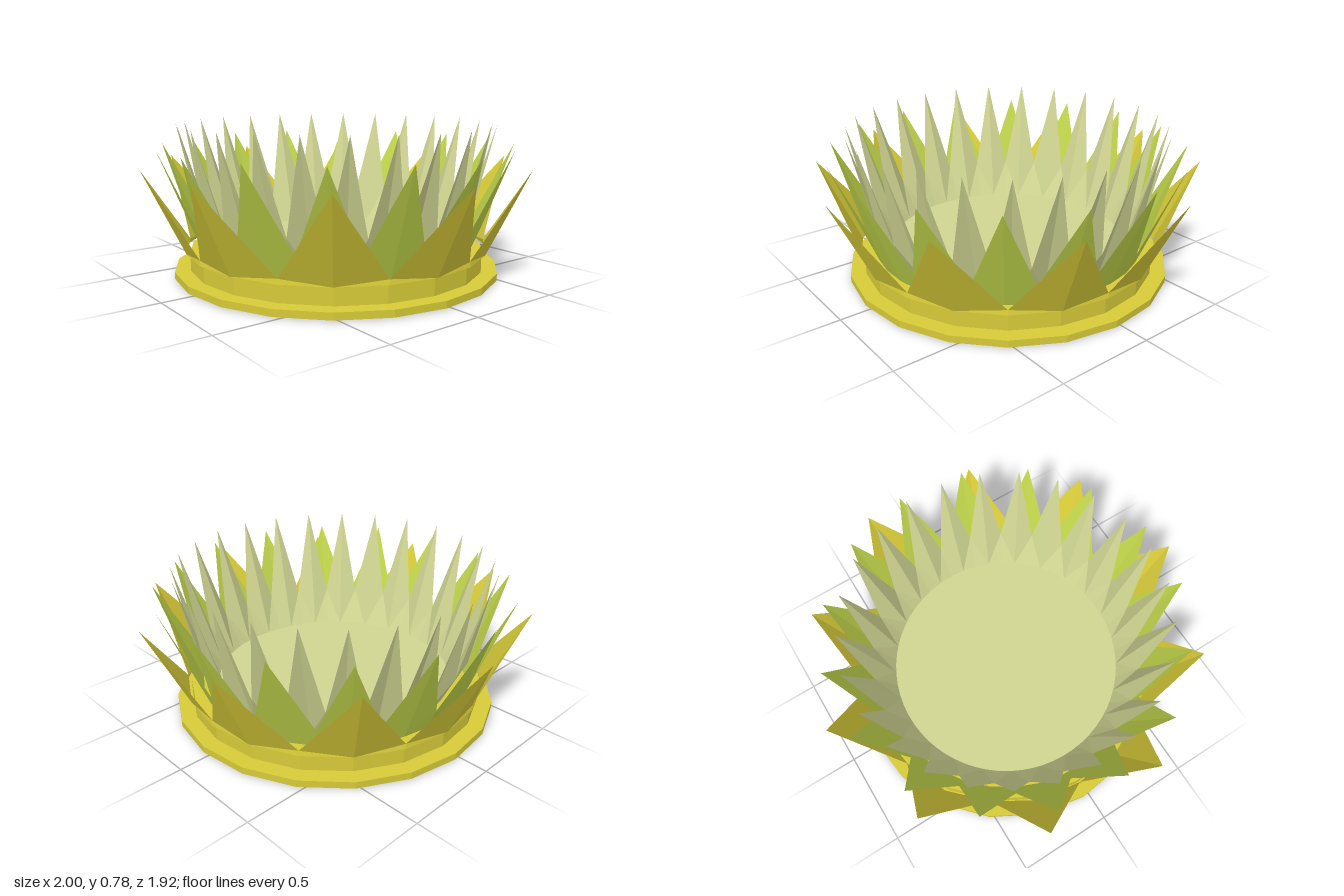
import * as THREE from 'three';

const mat = (name, color, extra = {}) => {
  const m = new THREE.MeshStandardMaterial({ color, flatShading: true, ...extra });
  m.name = name;
  return m;
};
const DEG = Math.PI / 180;

// Ring of pointed, folded leaves. base, valley and tip are [radius, height].
function crown(count, offset, base, valley, tip) {
  const pos = [];
  const half = Math.PI / count;
  const at = ([r, y], a) => [r * Math.cos(a), y, r * Math.sin(a)];
  const tri = (a, b, c) => pos.push(...a, ...b, ...c);
  for (let i = 0; i < count; i++) {
    const a = offset * DEG + 2 * half * i;
    const foot = at(base, a), point = at(tip, a);
    for (const s of [1, -1]) {
      const side = at(base, a + s * half), notch = at(valley, a + s * half);
      if (s > 0) {
        tri(foot, point, notch);
        tri(foot, notch, side);
      } else {
        tri(foot, notch, point);
        tri(foot, side, notch);
      }
    }
  }
  const g = new THREE.BufferGeometry();
  g.setAttribute('position', new THREE.Float32BufferAttribute(pos, 3));
  g.computeVertexNormals();
  return g;
}

export function createModel() {
  const group = new THREE.Group();
  group.name = 'leafCrownBowl';
  const side = { side: THREE.DoubleSide };
  const yellow = mat('mustard yellow', 0xd6ca38, side);
  const green = mat('lime green', 0xbfd34a, side);
  const pale = mat('pale sage', 0xd0d592, side);

  const add = (name, geometry, material) => {
    const m = new THREE.Mesh(geometry, material);
    m.name = name;
    group.add(m);
    return m;
  };
  const drum = (name, r, y0, y1, sides, material) => {
    const m = add(name, new THREE.CylinderGeometry(r, r, y1 - y0, sides), material);
    m.position.y = (y0 + y1) / 2;
    m.rotation.y = -2.2 * DEG;
  };

  // Base
  drum('basePlate', 0.85, 0.005, 0.04, 20, yellow);
  drum('baseBand', 0.77, 0.04, 0.132, 20, yellow);
  drum('centreDisc', 0.62, 0, 0.138, 64, pale);

  // Three rows of leaves, outside to inside
  add('outerLeaves', crown(10, 2.2, [0.79, 0.13], [0.785, 0.155], [1.0, 0.57]), yellow);
  add('middleLeaves', crown(16, -5.5, [0.705, 0.13], [0.755, 0.25], [0.923, 0.667]), green);
  add('innerLeaves', crown(25, 4.5, [0.62, 0.135], [0.715, 0.32], [0.82, 0.78]), pale);
  return group;
}
